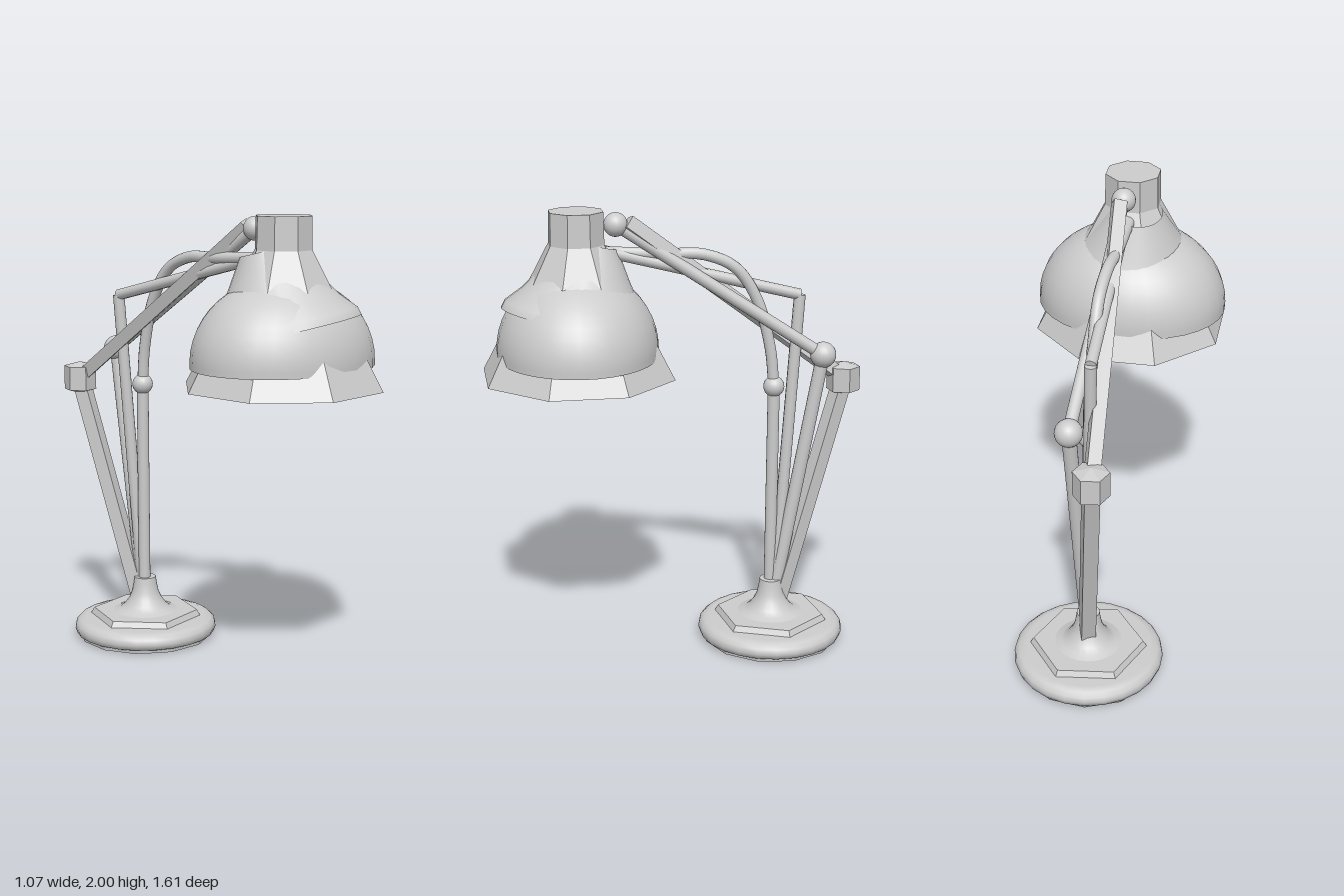
import * as THREE from 'three';

const metal = new THREE.MeshStandardMaterial({ color: 0xcccccc, side: THREE.DoubleSide });
metal.name = 'light grey metal';

const v2 = (pts) => pts.map(([x, y]) => new THREE.Vector2(x, y));
const v3 = (p) => new THREE.Vector3(...p);

function add(parent, name, geometry, pos = [0, 0, 0], flat = false) {
  let g = geometry;
  if (flat) {
    g = geometry.index ? geometry.toNonIndexed() : geometry;
    g.computeVertexNormals();
  }
  const mesh = new THREE.Mesh(g, metal);
  mesh.name = name;
  mesh.position.set(...pos);
  parent.add(mesh);
  return mesh;
}

const lathe = (pts, sides) => new THREE.LatheGeometry(v2(pts), sides);

// Straight rod between two points
function rod(parent, name, a, b, radius, sides) {
  const from = v3(a), to = v3(b), dir = to.clone().sub(from);
  const mesh = add(parent, name, new THREE.CylinderGeometry(radius, radius, dir.length(), sides), [0, 0, 0], sides < 8);
  mesh.position.copy(from).add(to).multiplyScalar(0.5);
  mesh.quaternion.setFromUnitVectors(new THREE.Vector3(0, 1, 0), dir.normalize());
  return mesh;
}

function ball(parent, name, pos, r) {
  return add(parent, name, new THREE.SphereGeometry(r, 20, 14), pos);
}

function createBase() {
  const base = new THREE.Group();
  base.name = 'base';
  base.position.set(-0.2, 0, -0.455);
  add(base, 'foot', new THREE.CylinderGeometry(0.315, 0.31, 0.03, 12), [0, 0.015, 0], true);
  // Rounded rim
  add(base, 'rim', lathe([[0.3, 0.012], [0.325, 0.022], [0.333, 0.045], [0.328, 0.068],
    [0.31, 0.085], [0.28, 0.094], [0, 0.097]], 24));
  // Hexagonal plate, corners along z
  add(base, 'hexPlate', new THREE.CylinderGeometry(0.245, 0.265, 0.035, 6), [0, 0.103, 0], true);
  add(base, 'neck', lathe([[0.17, 0.115], [0.12, 0.128], [0.095, 0.15], [0.075, 0.18],
    [0.062, 0.21], [0.054, 0.25], [0.05, 0.28]], 24));
  add(base, 'neckCap', new THREE.CylinderGeometry(0.05, 0.05, 0.004, 24), [0, 0.278, 0]);
  return base;
}

function createArms() {
  const arms = new THREE.Group();
  arms.name = 'arms';

  // Upright pole with a curved neck
  const hinge = [-0.205, 1.2, -0.45];
  rod(arms, 'pole', [-0.205, 0.2, -0.45], hinge, 0.027, 16);
  ball(arms, 'poleJoint', hinge, 0.047);
  const curve = new THREE.CatmullRomCurve3([hinge, [-0.2, 1.38, -0.43], [-0.18, 1.6, -0.37],
    [-0.145, 1.74, -0.28], [-0.1, 1.8, -0.15], [-0.05, 1.805, 0], [0.05, 1.82, 0.26]].map(v3));
  add(arms, 'curvedNeck', new THREE.TubeGeometry(curve, 40, 0.025, 12));

  // Round arm with ball joints
  const elbow = [-0.25, 1.345, -0.66], tip = [0.045, 1.94, 0.205];
  rod(arms, 'lowerRoundArm', [-0.205, 0.2, -0.47], elbow, 0.03, 16);
  rod(arms, 'upperRoundArm', elbow, tip, 0.027, 16);
  ball(arms, 'elbowBall', elbow, 0.058);
  ball(arms, 'tipBall', tip, 0.052);

  // Angular arm with a faceted joint
  const knuckle = [-0.405, 1.205, -0.735];
  rod(arms, 'lowerSquareArm', [-0.21, 0.15, -0.48], knuckle, 0.045, 4);
  rod(arms, 'upperSquareArm', knuckle, [0.035, 1.95, 0.155], 0.04, 4);
  add(arms, 'facetedJoint', lathe([[0, -0.075], [0.075, -0.055], [0.075, 0.055], [0, 0.075]], 6), knuckle, true);

  // Slim bent arm without a joint
  const bend = [-0.28, 1.605, -0.545];
  rod(arms, 'lowerSlimArm', [-0.205, 0.2, -0.47], bend, 0.026, 10);
  rod(arms, 'upperSlimArm', bend, [0.06, 1.825, 0.25], 0.025, 10);
  return arms;
}

function createShade() {
  const shade = new THREE.Group();
  shade.name = 'shade';
  shade.position.set(0.097, 0, 0.365);

  // Octagonal shell with a flat top and a thick lower rim
  add(shade, 'octagonShade', lathe([[0.39, 1.36], [0.395, 1.285], [0.435, 1.285], [0.125, 1.86],
    [0.122, 2], [0, 2]], 8), [0, 0, 0], true);

  // Oval dome bulging through the octagon
  const dome = add(shade, 'ovalDome', new THREE.SphereGeometry(1, 32, 12, 0, Math.PI * 2, 0, Math.PI / 2), [0, 1.4, 0]);
  dome.scale.set(0.42, 0.35, 0.352);
  dome.rotation.y = 0.3;
  const skirt = add(shade, 'domeSkirt', new THREE.CylinderGeometry(1, 1, 0.025, 32, 1, true), [0, 1.388, 0]);
  skirt.scale.set(0.42, 1, 0.352);
  skirt.rotation.y = 0.3;

  // Tilted flared bell whose lip shows at the front
  const bell = add(shade, 'flaredBell', lathe([[0.335, 0], [0.325, 0.035], [0.265, 0.1],
    [0.185, 0.22], [0.11, 0.34]], 32), [0, 1.52, 0]);
  bell.rotation.set(-0.17, 0, 0.164);

  // Socket and bulb
  add(shade, 'socket', new THREE.CylinderGeometry(0.06, 0.11, 0.16, 16), [0, 1.62, 0]);
  ball(shade, 'bulb', [0, 1.5, 0], 0.08);
  return shade;
}

export function createModel() {
  const lamp = new THREE.Group();
  lamp.name = 'deskLamp';
  lamp.add(createBase(), createArms(), createShade());
  return lamp;
}
